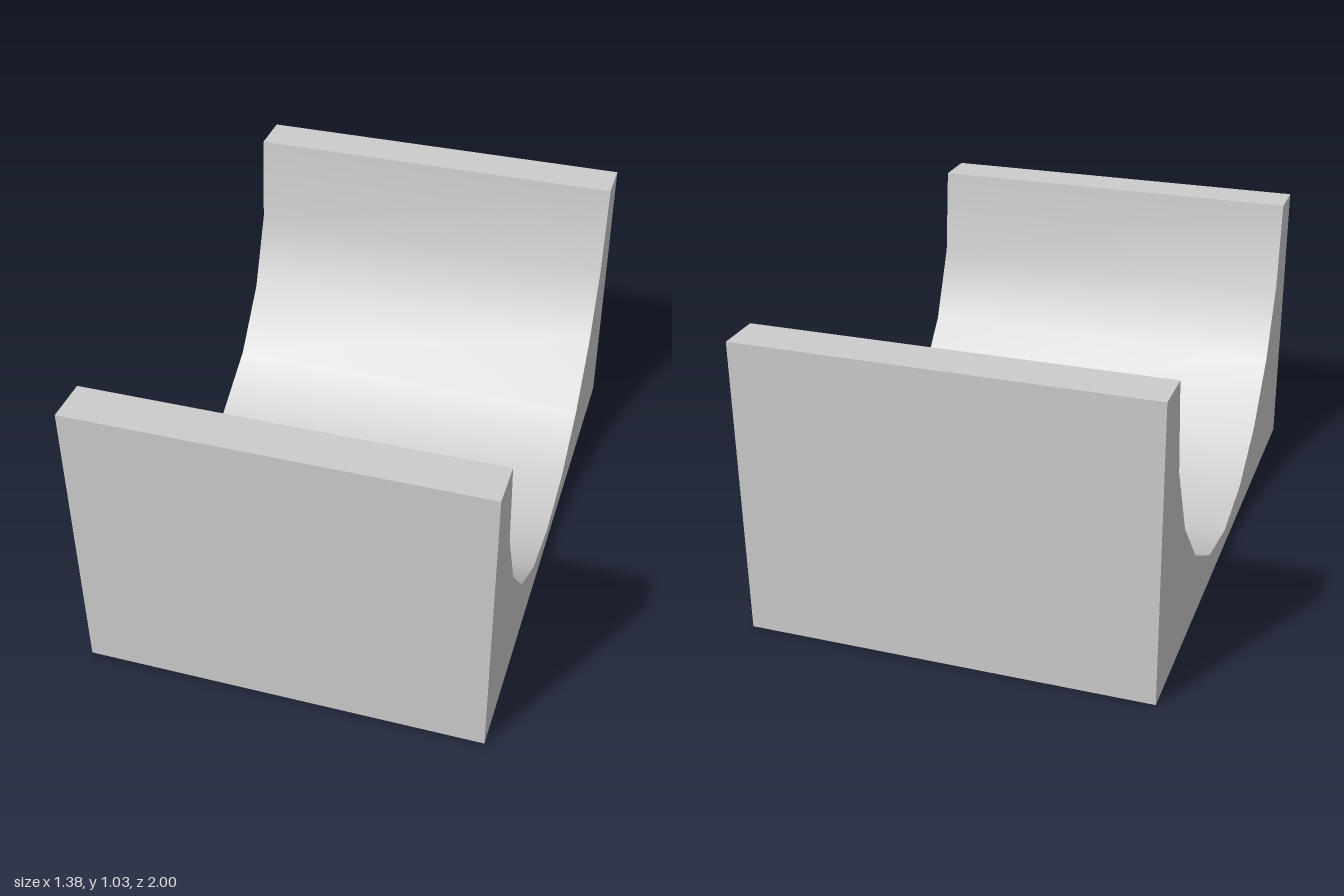
import * as THREE from 'three';

const HALF_X = 0.69, HALF_Z = 1, HEIGHT = 1.03, RIM_Z = 0.845;

export function createModel() {
  const group = new THREE.Group();
  const material = new THREE.MeshStandardMaterial({ color: 0xcccccc, side: THREE.DoubleSide });
  const add = (name, geometry) => {
    const mesh = new THREE.Mesh(geometry, material);
    mesh.name = name;
    group.add(mesh);
    return mesh;
  };

  // Channel cross-section: half an ellipse in ten steps, from back rim to front rim
  const profile = [];
  for (let i = 0; i <= 10; i++) {
    const a = (i / 10) * Math.PI;
    const rim = i === 0 || i === 10;
    profile.push(new THREE.Vector2(
      rim ? -RIM_Z * Math.cos(a) : -0.85 * Math.cos(a),
      rim ? HEIGHT : 1 - 0.935 * Math.sin(a)));
  }

  // Smooth curved channel
  const channel = new THREE.PlaneGeometry(2 * HALF_X, 1, 1, 10);
  const pos = channel.attributes.position;
  for (let i = 0; i < pos.count; i++) {
    const p = profile[Math.floor(i / 2)];
    pos.setXYZ(i, pos.getX(i), p.y, p.x);
  }
  channel.computeVertexNormals();
  add('channel', channel);

  // End panels cut out by the channel
  const outline = new THREE.Shape([
    new THREE.Vector2(-HALF_Z, 0), new THREE.Vector2(HALF_Z, 0),
    new THREE.Vector2(HALF_Z, HEIGHT), ...profile.slice().reverse(),
    new THREE.Vector2(-HALF_Z, HEIGHT),
  ]);
  for (const [name, s] of [['leftEnd', 1], ['rightEnd', -1]]) {
    const end = add(name, new THREE.ShapeGeometry(outline));
    end.rotation.y = s * Math.PI / 2;
    end.position.x = s * HALF_X;
  }

  // Outer walls and flat rims; the underside stays open
  const rimWidth = HALF_Z - RIM_Z;
  for (const [name, s] of [['front', 1], ['back', -1]]) {
    const wall = add(name + 'Wall', new THREE.PlaneGeometry(2 * HALF_X, HEIGHT));
    wall.rotation.y = s > 0 ? 0 : Math.PI;
    wall.position.set(0, HEIGHT / 2, s * HALF_Z);

    const rim = add(name + 'Rim', new THREE.PlaneGeometry(2 * HALF_X, rimWidth));
    rim.rotation.x = -Math.PI / 2;
    rim.position.set(0, HEIGHT, s * (RIM_Z + rimWidth / 2));
  }
  return group;
}
